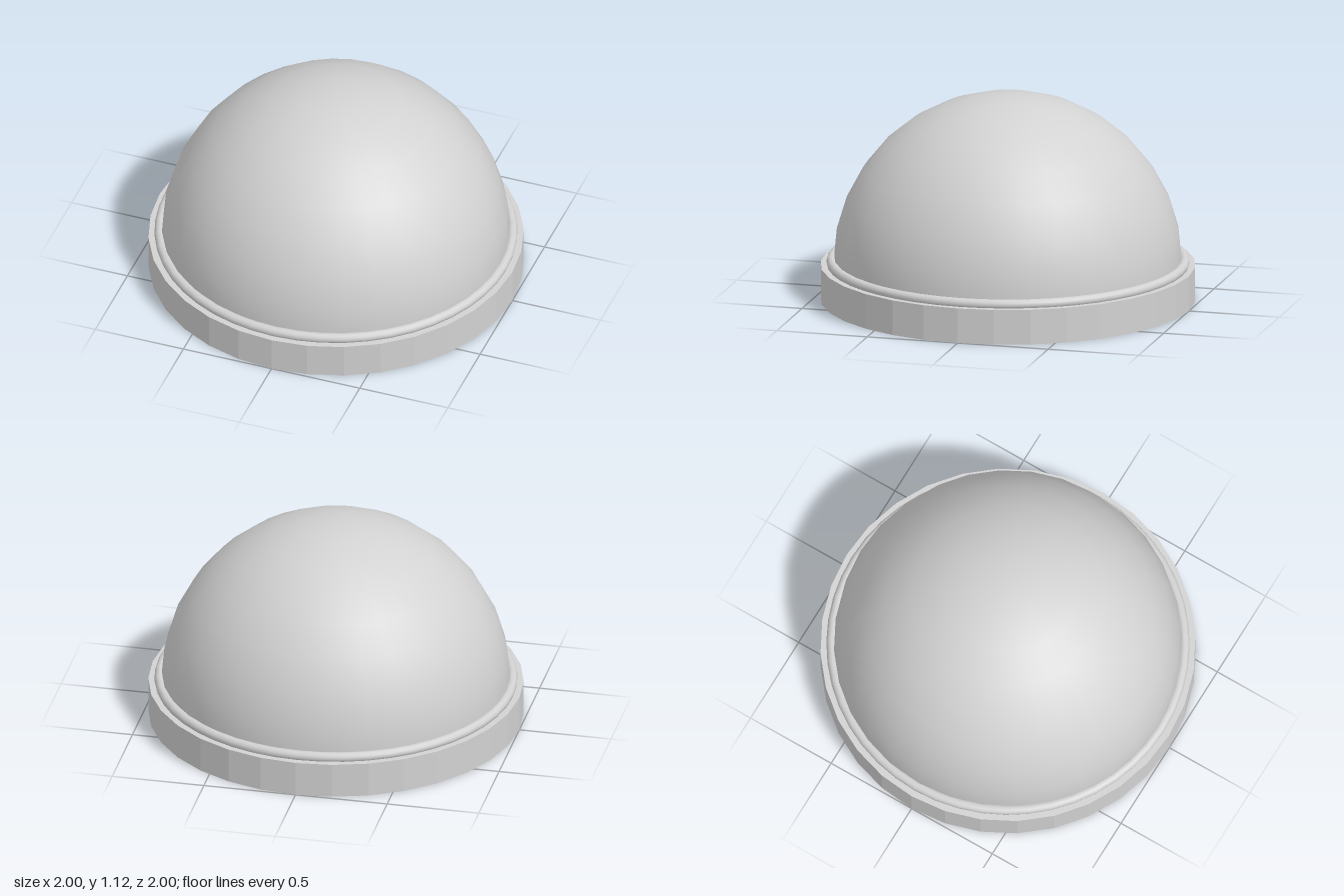
import * as THREE from 'three';

const SIDES = 32;
const BASE_HEIGHT = 0.19;
const DOME_RADIUS = 0.932;

export function createModel() {
  const model = new THREE.Group();
  model.name = 'domeOnBase';

  const lightGrey = new THREE.MeshStandardMaterial({ color: 0xd2d2d2 });
  lightGrey.name = 'lightGrey';

  const add = (name, geometry, y) => {
    const mesh = new THREE.Mesh(geometry, lightGrey);
    mesh.name = name;
    mesh.position.y = y;
    model.add(mesh);
  };

  // Faceted round base: splitting the vertices gives each side a flat normal
  const base = new THREE.CylinderGeometry(1, 1, BASE_HEIGHT, SIDES).toNonIndexed();
  base.computeVertexNormals();
  add('base', base, BASE_HEIGHT / 2);

  // Smooth hemisphere resting on the base
  add('dome', new THREE.SphereGeometry(DOME_RADIUS, SIDES, 8, 0, Math.PI * 2, 0, Math.PI / 2), BASE_HEIGHT);

  // Rounded sealing ring around the foot of the dome
  const ring = new THREE.TorusGeometry(0.94, 0.028, 12, 48).rotateX(Math.PI / 2);
  add('sealingRing', ring, 0.205);

  return model;
}
